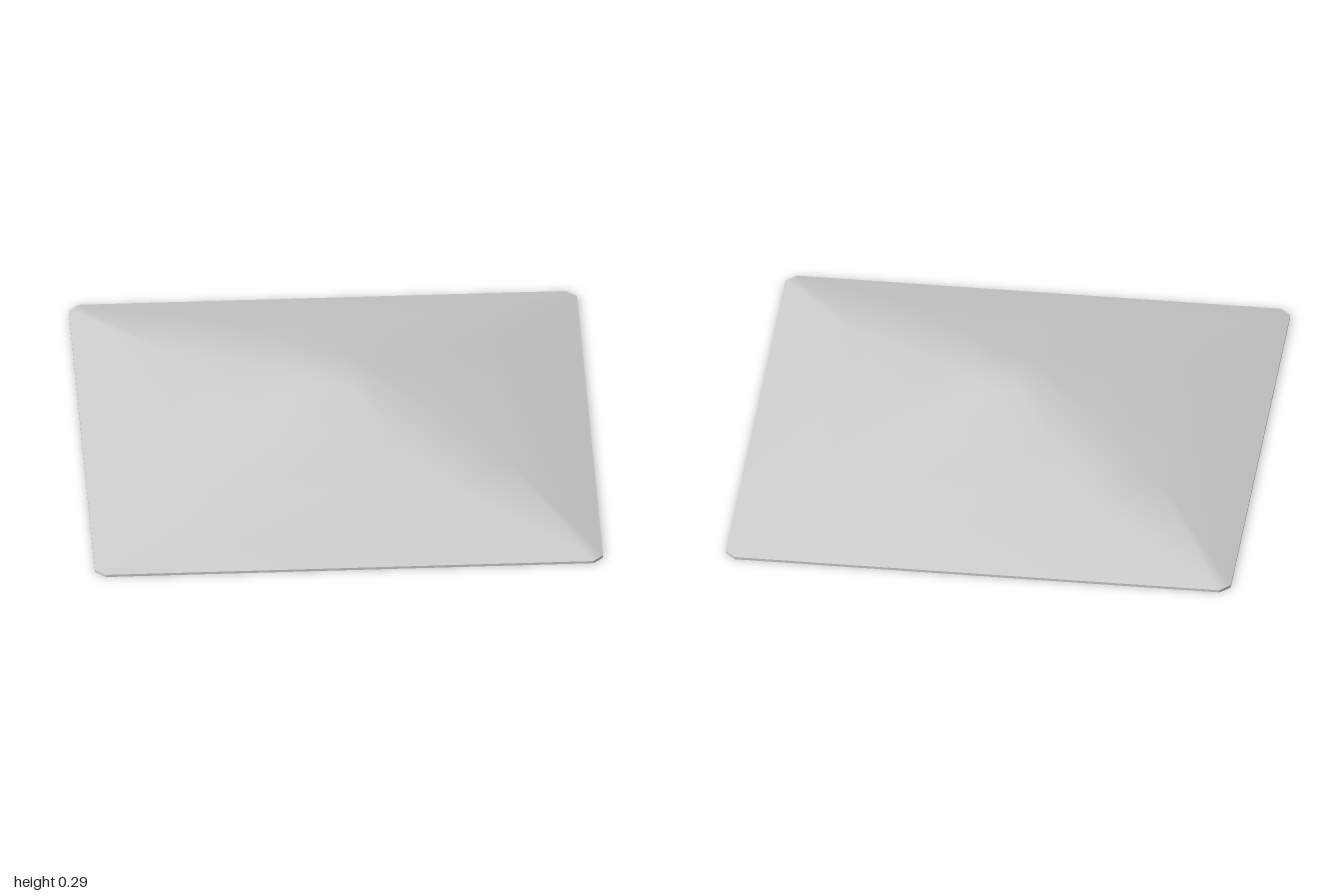
import * as THREE from 'three';

// Rings from rim to crown: half width, half length of the straight side, height
const RINGS = [
  [1.0, 0.96, 0.01],
  [0.65, 0.44, 0.14],
  [0.37, 0.2, 0.225],
  [0.125, 0.06, 0.295],
];
const THICKNESS = 0.01;

// Square ring with cut corners
function ringPoints([w, s, y]) {
  return [[w, -s], [w, s], [s, w], [-s, w], [-w, s], [-w, -s], [-s, -w], [s, -w]]
    .map(([x, z]) => [x, y, z]);
}

// Smooth surface across the rings, optionally closed by a flat crown
function loft(rings, { crown = false, flip = false } = {}) {
  const points = rings.flatMap(ringPoints);
  const index = [];
  const tri = (a, b, c) => index.push(...(flip ? [a, c, b] : [a, b, c]));
  for (let r = 0; r < rings.length - 1; r++) {
    for (let i = 0; i < 8; i++) {
      const j = (i + 1) % 8;
      const a = r * 8 + i, b = r * 8 + j;
      tri(a, a + 8, b);
      tri(b, a + 8, b + 8);
    }
  }
  if (crown) {
    const last = (rings.length - 1) * 8;
    const centre = points.length;
    points.push([0, rings[rings.length - 1][2], 0]);
    for (let i = 0; i < 8; i++) tri(centre, last + (i + 1) % 8, last + i);
  }
  const geometry = new THREE.BufferGeometry();
  geometry.setAttribute('position', new THREE.Float32BufferAttribute(points.flat(), 3));
  geometry.setIndex(index);
  geometry.computeVertexNormals();
  return geometry;
}

export function createModel() {
  const group = new THREE.Group();
  group.name = 'canopy';
  const material = new THREE.MeshStandardMaterial({ color: 0xcccccc });
  const add = (name, geometry) => {
    const mesh = new THREE.Mesh(geometry, material);
    mesh.name = name;
    group.add(mesh);
  };

  const lowered = RINGS.map(([w, s, y]) => [w, s, y - THICKNESS]);

  // Upper skin, hollow underside and the thin edge joining them
  add('canopyTop', loft(RINGS, { crown: true }));
  add('canopyUnderside', loft(lowered, { crown: true, flip: true }));
  add('canopyRim', loft([lowered[0], RINGS[0]]).toNonIndexed());
  group.getObjectByName('canopyRim').geometry.computeVertexNormals();

  return group;
}
